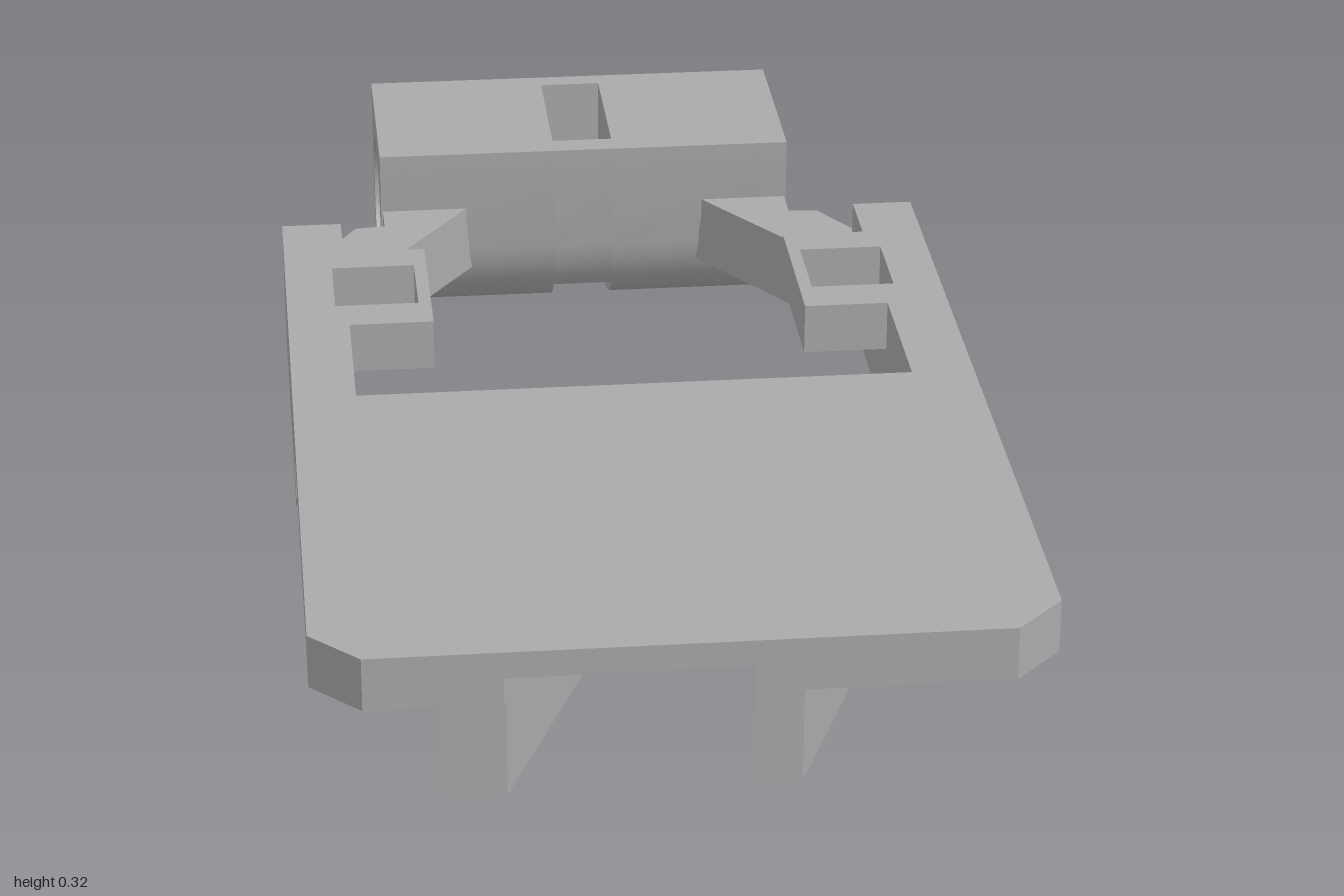
import * as THREE from 'three';
import { toCreasedNormals } from 'three/addons/utils/BufferGeometryUtils.js';

export function createModel() {
  const model = new THREE.Group();
  const grey = new THREE.MeshStandardMaterial({ color: 0xaaaaaa });
  grey.name = 'plain grey';

  function add(name, geometry) {
    const mesh = new THREE.Mesh(toCreasedNormals(geometry, 0.5), grey);
    mesh.name = name;
    model.add(mesh);
    return mesh;
  }
  const vecs = (pts, sign) => pts.map(([a, b]) => new THREE.Vector2(a, sign * b));

  // Horizontal slab: outline in (x, z), raised from y0 to y1
  function slab(name, pts, y0, y1, hole) {
    const shape = new THREE.Shape(vecs(pts, -1));
    if (hole) shape.holes.push(new THREE.Path(vecs(hole, -1)));
    const g = new THREE.ExtrudeGeometry(shape, { depth: y1 - y0, bevelEnabled: false });
    return add(name, g.rotateX(-Math.PI / 2).translate(0, y0, 0));
  }

  // Side profile: outline in (z, y), extended from x0 to x1
  function profile(name, pts, x0, x1, bore) {
    const shape = new THREE.Shape(pts.map(([z, y]) => new THREE.Vector2(-z, y)));
    if (bore) {
      const h = new THREE.Path();
      h.absarc(0.84, 0.16, bore, 0, Math.PI * 2, true);
      shape.holes.push(h);
    }
    const g = new THREE.ExtrudeGeometry(shape, { depth: x1 - x0, bevelEnabled: false, curveSegments: 16 });
    return add(name, g.rotateY(Math.PI / 2).translate(x0, 0, 0));
  }

  // Turned clip: a back beam from B to A with two arms cut flush at the front
  const angle = Math.PI / 8, c = Math.cos(angle), s = Math.sin(angle);
  const A = [0.395, 0.41], B = [-0.03, 0.235], left = 0.085, right = 0.06;
  const L = [B[0] + left * (c - s), B[1] + left * (s + c)];
  const R = [A[0] - right * c - left * s, A[1] - right * s + left * c];
  const forward = ([x, z], end) => [x - (end - z) * s / c, end];
  slab('clip', [B, A, forward(A, 0.99), forward(R, 0.99), R, L, forward(L, 0.99), forward(B, 0.99)], 0.095, 0.25);

  // Plate, with a channel in its underside between the clip arms
  const back = [[0.515, 0.93], [0.515, 0.215], [-0.515, 0.215], [-0.515, 0.93], [-0.445, 1]];
  slab('plateTop', [...back, [0.445, 1]], 0.285, 0.325);
  slab('plateUnderside', [...back, forward(L, 1), L, R, forward(R, 1), [0.445, 1]], 0.245, 0.285);
  add('roundPad', new THREE.CylinderGeometry(0.13, 0.12, 0.012, 40).translate(0, 0.28, 0.7));

  for (const k of [1, -1]) {
    const m = (pts) => pts.map(([x, z]) => [k * x, z]);
    const span = (a, b) => (k > 0 ? [a, b] : [-b, -a]);

    // Side rail with a bevelled front foot
    const foot = [[0.225, 0.245], [0.225, 0.16], [0.19, 0.13]];
    profile('rail', [[-0.41, 0.13], [-0.41, 0.245], ...foot], ...span(0.42, 0.515));
    slab('railTop', m([[0.515, -0.41], [0.515, 0.215], [0.42, 0.215], [0.42, -0.03], [0.29, -0.03],
      [0.29, -0.3], [0.42, -0.3], [0.42, -0.41]]), 0.245, 0.325,
    m([[0.31, -0.1], [0.44, -0.1], [0.44, -0.24], [0.31, -0.24]]));

    // Runner under the plate, sloped at its front end
    profile('runner', [[0.2, 0.16], [0.2, 0.25], [0.85, 0.25], [0.85, 0.235], [0.775, 0.16]], ...span(0.445, 0.51));

    // Slanted link between rail and barrel
    slab('link', m([[0.512, -0.37], [0.512, -0.415], [0.39, -0.61], [0.342, -0.615], [0.342, -0.69],
      [0.19, -0.69], [0.41, -0.375]]), 0.11, 0.225);
  }

  // Barrel: rounded below, square above
  const arc = (a, b, n) => Array.from({ length: n + 1 }, (_, i) => {
    const t = a + (b - a) * i / n;
    return [-0.84 + 0.16 * Math.cos(t), 0.16 + 0.16 * Math.sin(t)];
  });
  const section = [[-1, 0.325], [-0.675, 0.325], [-0.675, 0.2], ...arc(0, -Math.PI, 32)];
  for (const k of [1, -1]) {
    const span = (a, b) => (k > 0 ? [a, b] : [-b, -a]);
    profile('barrelHalf', section, ...span(0.05, 0.305), 0.092);
    profile('barrelEnd', section, ...span(0.305, 0.345), 0.12);
  }

  // Thin walls either side of the central slot
  const cut = Math.acos(0.122 / 0.16);
  profile('slotFrontWall', [[-0.718, 0.325], [-0.675, 0.325], [-0.675, 0.2], ...arc(0, -cut, 8)], -0.05, 0.05);
  profile('slotBackWall', [[-1, 0.325], [-0.965, 0.325], ...arc(cut - Math.PI, -Math.PI, 8)], -0.05, 0.05);

  return model;
}
